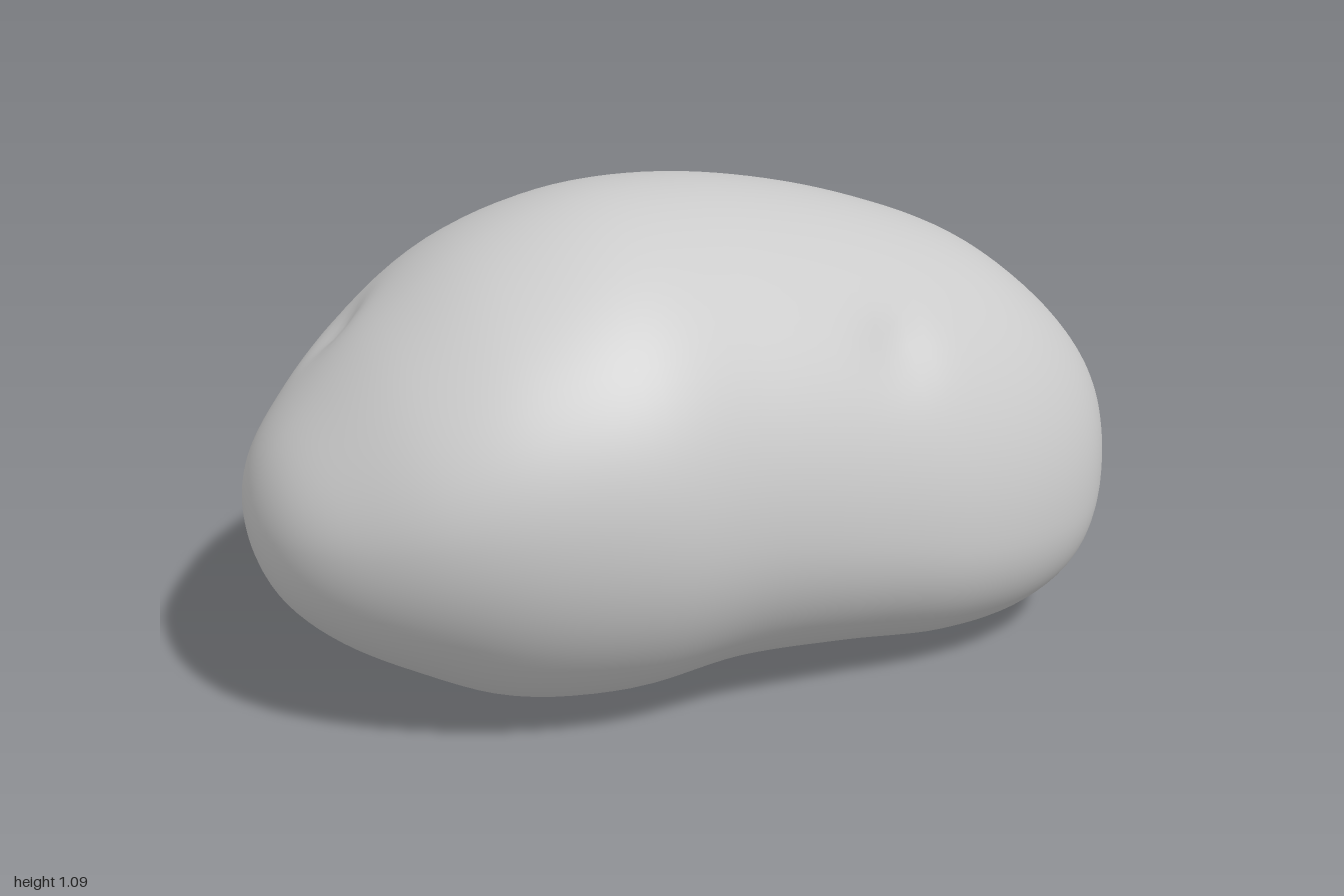
import * as THREE from 'three';

// Cross-sections along x = -cos(t), one every 15 degrees: back z, front z, bottom y, top y
const stations = [
  [0.11, 0.11, 0.46, 0.46],
  [-0.09, 0.29, 0.32, 0.60],
  [-0.25, 0.44, 0.21, 0.73],
  [-0.40, 0.57, 0.115, 0.885],
  [-0.52, 0.65, 0.025, 1.02],
  [-0.58, 0.68, 0.008, 1.09],
  [-0.65, 0.64, 0.032, 1.08],
  [-0.687, 0.608, 0.022, 1.03],
  [-0.67, 0.575, 0.003, 0.955],
  [-0.58, 0.51, 0.02, 0.86],
  [-0.38, 0.41, 0.10, 0.73],
  [-0.11, 0.27, 0.27, 0.59],
  [0.11, 0.11, 0.46, 0.46],
];

// Dimples: x, y, z, radius, depth
const dents = [
  [0.35, 0.80, 0.46, 0.08, 0.02],
  [0.97, 0.36, 0.02, 0.08, 0.02],
  [-0.74, 0.80, -0.10, 0.08, 0.025],
];

const { lerp, smoothstep } = THREE.MathUtils;

// Smooth interpolation through one column of the stations
function sample(column, u) {
  const last = stations.length - 1;
  const i = Math.min(Math.floor(u * last), last - 1);
  const f = u * last - i;
  const at = (k) => stations[k][column];
  const b = at(i), c = at(i + 1);
  const a = i > 0 ? at(i - 1) : 2 * b - c;
  const d = i + 2 <= last ? at(i + 2) : 2 * c - b;
  return b + 0.5 * f * (c - a + f * (2 * a - 5 * b + 4 * c - d + f * (3 * (b - c) + d - a)));
}

// Point on the skin: u runs along the length, angle runs around the section
function skinPoint(u, angle) {
  const [back, front, bottom, top] = [0, 1, 2, 3].map((k) => sample(k, u));
  const c = Math.cos(angle), s = Math.sin(angle);
  // The right lobe hangs high, the left lobe sits low and square
  const w = smoothstep(u, 0.2, 0.7);
  const cy = lerp(bottom, top, c > 0 ? lerp(0.55, 0.38, w) : lerp(0.49, 0.39, w));
  const cz = lerp(back, front, s > 0 ? 0.535 : lerp(0.54, 0.59, w));
  let roundness;
  if (s > 0) roundness = c > 0 ? 2.02 : 1.88;
  else roundness = c > 0 ? lerp(1.95, 2.25, w) : lerp(2.0, 2.5, w);
  const pz = Math.abs(c) ** (2 / roundness), py = Math.abs(s) ** (2 / roundness);
  const p = new THREE.Vector3(
    -Math.cos(u * Math.PI),
    cy + py * (s > 0 ? top - cy : bottom - cy),
    cz + pz * (c > 0 ? front - cz : back - cz)
  );
  const inward = new THREE.Vector3(p.x * 0.5, 0.5, 0).sub(p).normalize();
  for (const [x, y, z, radius, depth] of dents) {
    const d = p.distanceTo(new THREE.Vector3(x, y, z)) / radius;
    p.addScaledVector(inward, depth * Math.exp(-d * d));
  }
  return p;
}

export function createModel() {
  const rings = 72, sides = 96;
  const positions = [], index = [];

  // One vertex at each pole and closed rings between them
  positions.push(...skinPoint(0, 0).toArray());
  for (let i = 1; i < rings; i++) {
    for (let j = 0; j < sides; j++) {
      positions.push(...skinPoint(i / rings, (j / sides) * Math.PI * 2).toArray());
    }
  }
  positions.push(...skinPoint(1, 0).toArray());

  const id = (i, j) => {
    if (i === 0) return 0;
    if (i === rings) return 1 + (rings - 1) * sides;
    return 1 + (i - 1) * sides + (j % sides);
  };
  for (let i = 0; i < rings; i++) {
    for (let j = 0; j < sides; j++) {
      if (i < rings - 1) index.push(id(i, j), id(i + 1, j), id(i + 1, j + 1));
      if (i > 0) index.push(id(i, j), id(i + 1, j + 1), id(i, j + 1));
    }
  }

  const geometry = new THREE.BufferGeometry();
  geometry.setAttribute('position', new THREE.Float32BufferAttribute(positions, 3));
  geometry.setIndex(index);
  geometry.computeVertexNormals();

  const body = new THREE.Mesh(geometry, new THREE.MeshStandardMaterial({ color: 0xcccccc }));
  body.name = 'potatoBody';
  const group = new THREE.Group();
  group.name = 'potato';
  group.add(body);
  return group;
}
